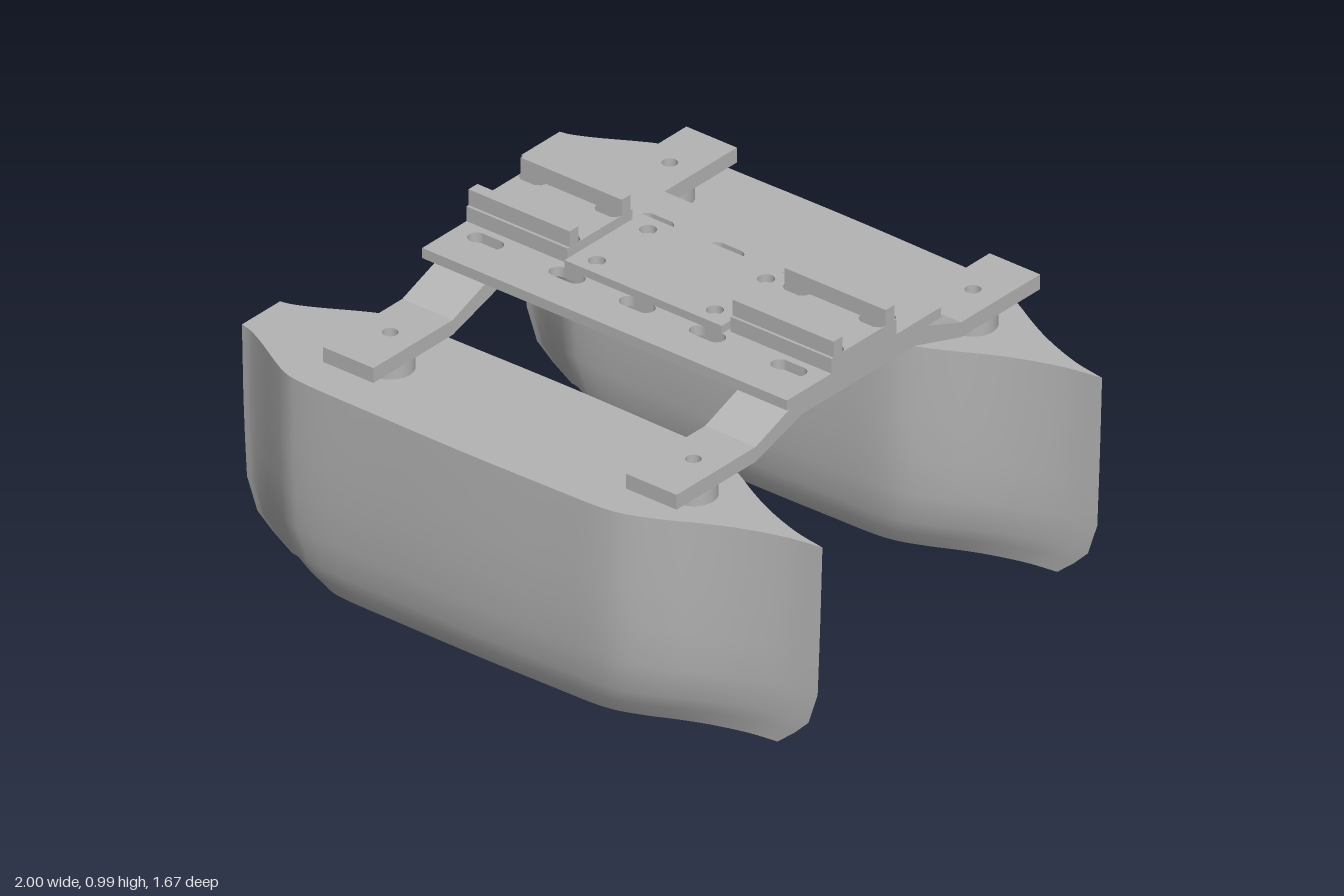
import * as THREE from 'three';
import { toCreasedNormals } from 'three/addons/utils/BufferGeometryUtils.js';

const grey = new THREE.MeshStandardMaterial({ color: 0xb4b4b4 });
grey.name = 'plain grey';

function add(parent, name, geometry, x = 0, y = 0, z = 0) {
  const mesh = new THREE.Mesh(geometry, grey);
  mesh.name = name;
  mesh.position.set(x, y, z);
  parent.add(mesh);
  return mesh;
}

// Flat horizontal plate resting on y = 0, with holes cut through it
function plate(width, depth, height, holes = []) {
  const w = width / 2, d = depth / 2;
  const shape = new THREE.Shape([[-w, -d], [w, -d], [w, d], [-w, d]].map(p => new THREE.Vector2(...p)));
  shape.holes.push(...holes);
  const geometry = new THREE.ExtrudeGeometry(shape, { depth: height, bevelEnabled: false, curveSegments: 12 });
  return geometry.rotateX(-Math.PI / 2);
}

function roundHole(x, y, r) {
  return new THREE.Path().absarc(x, y, r, 0, Math.PI * 2, true);
}

function slot(x, y, length, width) {
  const r = width / 2, h = length / 2 - r;
  const path = new THREE.Path();
  path.absarc(x + h, y, r, -Math.PI / 2, Math.PI / 2, false);
  path.absarc(x - h, y, r, Math.PI / 2, Math.PI * 1.5, false);
  path.closePath();
  return path;
}

// Slot with one side hidden by a rail: dir points away from the rail
function halfSlot(x, y, dir) {
  const pts = [[-0.045, 0], [-0.04, 0.014], [-0.025, 0.025], [0.025, 0.025], [0.04, 0.014], [0.045, 0]];
  return new THREE.Path(pts.map(([a, b]) => new THREE.Vector2(x + a, y + dir * b)));
}

// Hull: one plan outline scaled at several heights, pointed bow at +x, flat transom at -x
function hullGeometry() {
  const plan = [[-1, 0.083], [-0.97, 0.09], [-0.91, 0.118], [-0.8, 0.182], [-0.75, 0.208], [-0.7, 0.222],
    [-0.4, 0.23], [-0.1, 0.233], [0.2, 0.229], [0.4, 0.223], [0.47, 0.208], [0.57, 0.163],
    [0.66, 0.113], [0.755, 0.067], [0.89, 0.02], [1, 0]];
  const levels = [[0, 0.84, 0.72], [0.05, 0.9, 0.83], [0.1, 0.95, 0.91], [0.2, 0.983, 0.97],
    [0.32, 0.988, 1], [0.45, 0.993, 1.01], [0.675, 1, 0.985]];
  const curve = new THREE.CatmullRomCurve3(plan.map(([x, z]) => new THREE.Vector3(x, 0, z)));
  const n = 60, stations = [];
  for (let i = 0; i <= n; i++) stations.push(curve.getPoint(i / n));

  const positions = [], index = [];
  for (const [y, sx, sz] of levels) {
    for (const s of [1, -1]) {
      for (const p of stations) positions.push(p.x * sx, y, s * p.z * sz);
    }
  }
  const at = (j, side, i) => (j * 2 + side) * (n + 1) + i;
  const quad = (a, b, c, d) => index.push(a, b, c, a, c, d);
  const top = levels.length - 1;

  // Sides and transom
  for (let j = 0; j < top; j++) {
    for (let i = 0; i < n; i++) {
      quad(at(j, 0, i), at(j, 0, i + 1), at(j + 1, 0, i + 1), at(j + 1, 0, i));
      quad(at(j, 1, i + 1), at(j, 1, i), at(j + 1, 1, i), at(j + 1, 1, i + 1));
    }
    quad(at(j, 1, 0), at(j, 0, 0), at(j + 1, 0, 0), at(j + 1, 1, 0));
  }
  // Deck and bottom
  for (let i = 0; i < n; i++) {
    const last = i === n - 1;
    index.push(at(top, 0, i), at(top, 0, i + 1), at(top, 1, i));
    index.push(at(0, 0, i + 1), at(0, 0, i), at(0, 1, i));
    if (last) continue;
    index.push(at(top, 0, i + 1), at(top, 1, i + 1), at(top, 1, i));
    index.push(at(0, 0, i + 1), at(0, 1, i), at(0, 1, i + 1));
  }
  const geometry = new THREE.BufferGeometry();
  geometry.setAttribute('position', new THREE.Float32BufferAttribute(positions, 3));
  geometry.setIndex(index);
  return toCreasedNormals(geometry, 0.7);
}

export function createModel() {
  const model = new THREE.Group();
  model.name = 'catamaran';

  const hull = hullGeometry();
  for (const z of [-0.6, 0.6]) add(model, 'hull', hull, 0, 0, z);

  // Cranked cross arms with drilled feet on round posts
  const armProfile = [[-0.44, 0.738], [-0.24, 0.8], [0.24, 0.8], [0.44, 0.738],
    [0.44, 0.785], [0.245, 0.858], [-0.245, 0.858], [-0.44, 0.785]];
  const arm = new THREE.ExtrudeGeometry(new THREE.Shape(armProfile.map(p => new THREE.Vector2(...p))),
    { depth: 0.18, bevelEnabled: false }).translate(0, 0, -0.09).rotateY(Math.PI / 2);
  for (const x of [-0.54, 0.54]) {
    const crossArm = new THREE.Group();
    crossArm.name = 'crossArm';
    model.add(crossArm);
    add(crossArm, 'armSpan', arm, x);
    for (const s of [-1, 1]) {
      const foot = plate(0.18, 0.34, 0.047, [roundHole(0, s * 0.01, 0.023)]);
      add(crossArm, 'armFoot', foot, x, 0.738, s * 0.61);
      add(crossArm, 'post', new THREE.CylinderGeometry(0.07, 0.07, 0.065, 32), x, 0.7055, s * 0.6);
    }
  }

  // Slotted platform
  const slots = [];
  for (const x of [-0.54, -0.25, 0, 0.25, 0.54]) {
    for (const z of [-0.19, 0.19]) slots.push(slot(x, z, 0.116, 0.053));
  }
  add(model, 'platform', plate(1.3, 0.66, 0.032, slots), 0, 0.858);

  // Raised centre plate with four screw holes
  const screws = [];
  for (const x of [-0.21, 0.21]) for (const z of [-0.11, 0.11]) screws.push(roundHole(x, z, 0.025));
  add(model, 'centrePlate', plate(0.56, 0.33, 0.025, screws), 0, 0.89);

  // Rail cradles at both ends of the platform
  for (const x of [-0.47, 0.47]) {
    const cradle = new THREE.Group();
    cradle.name = 'cradle';
    model.add(cradle);
    const notches = [];
    for (const nx of [-0.135, 0.135]) for (const s of [-1, 1]) notches.push(halfSlot(nx, s * 0.093, -s));
    add(cradle, 'cradleBase', plate(0.36, 0.28, 0.047, notches), x, 0.89);
    for (const z of [-0.112, 0.112]) {
      add(cradle, 'rail', new THREE.BoxGeometry(0.36, 0.05, 0.038), x, 0.962, z);
    }
  }
  return model;
}
